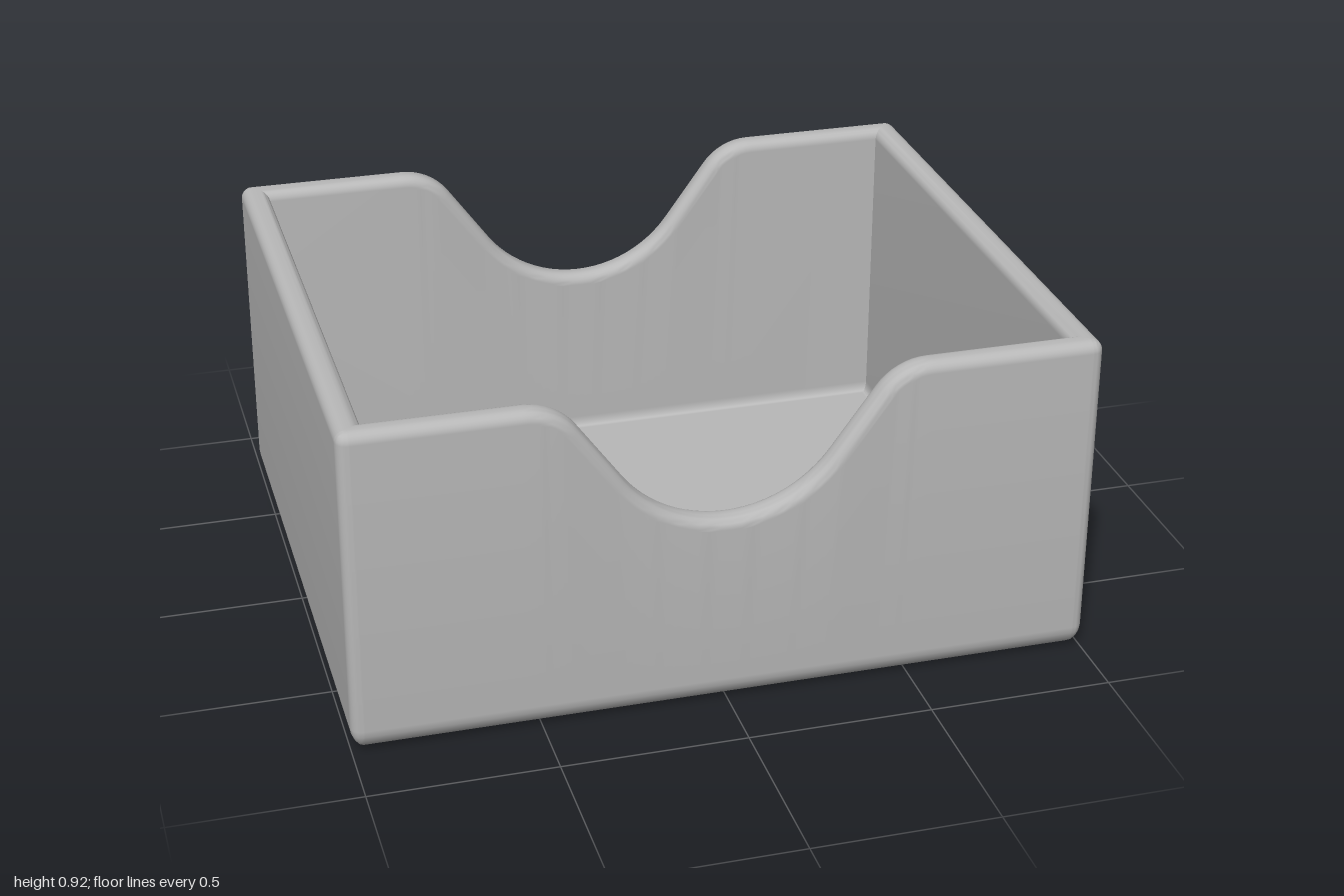
import * as THREE from 'three';
import { toCreasedNormals } from 'three/addons/utils/BufferGeometryUtils.js';

const W = 1, D = 0.82, H = 0.92;   // half width, half depth, height
const R = 0.03;                    // upright corner and rim rounding
const BASE_R = 0.07;               // underside rounding
const WALL = 0.075, FLOOR = 0.04;
const STEPS = 6;

// Rim of a notched wall from left to right: points with their upward normals
function notchRim() {
  const slope = 0.943, bowl = 0.34, lip = 0.168, low = 0.547;
  const half = [];
  for (let i = 0; i <= 12; i++) {
    const a = slope * i / 12;
    half.push({ x: bowl * Math.sin(a), y: low + bowl * (1 - Math.cos(a)), nx: -Math.sin(a), ny: Math.cos(a) });
  }
  for (let i = 0; i <= 8; i++) {
    const a = slope * (1 - i / 8);
    half.push({ x: 0.53 - lip * Math.sin(a), y: H - lip * (1 - Math.cos(a)), nx: -Math.sin(a), ny: Math.cos(a) });
  }
  for (const x of [0.54, W - R - 0.004]) half.push({ x, y: H, nx: 0, ny: 1 });
  const left = half.slice(1).reverse().map(p => ({ ...p, x: -p.x, nx: -p.nx }));
  return [...left, ...half];
}

// Stations round the box, anticlockwise seen from above
function stations() {
  const list = [];
  const flat = { y: H, tx: 0, ty: 1 };
  const corner = (sx, sz, start) => {
    for (let i = 0; i <= STEPS; i++) {
      const a = start - (Math.PI / 2) * i / STEPS;
      list.push({ ...flat, x: sx * (W - R), z: sz * (D - R), nx: Math.cos(a), nz: Math.sin(a), sx, sz });
    }
  };
  const notched = s => {
    for (const p of notchRim())
      list.push({ x: s * p.x, z: s * (D - R), nx: 0, nz: s, y: p.y, tx: s * p.nx, ty: p.ny });
  };
  const plain = s => {
    for (const k of [1, -1])
      list.push({ ...flat, x: s * (W - R), z: s * k * (D - R - 0.004), nx: s, nz: 0 });
  };
  notched(1);
  corner(1, 1, Math.PI / 2);
  plain(1);
  corner(1, -1, 0);
  notched(-1);
  corner(-1, -1, -Math.PI / 2);
  plain(-1);
  corner(-1, 1, Math.PI);
  return list;
}

// Wall section: d is the inset, with a fixed height y or a drop t below the rim
function section() {
  const s = [{ d: D, y: 0 }, { d: BASE_R + 0.004, y: 0 }];
  const arc = f => { for (let i = 0; i <= STEPS; i++) f((Math.PI / 2) * i / STEPS); };
  arc(a => s.push({ d: BASE_R * (1 - Math.sin(a)), y: BASE_R * (1 - Math.cos(a)) }));
  s.push({ d: 0, y: BASE_R + 0.004 }, { d: 0, t: R + 0.004 });
  arc(a => s.push({ d: R * (1 - Math.sin(a)), t: R * (1 - Math.sin(Math.PI / 2 - a)) }));
  // the rim arc runs from the outer face up to the crest
  s.splice(-STEPS - 1);
  arc(a => s.push({ d: R * (1 - Math.cos(a)), t: R * (1 - Math.sin(a)) }));
  arc(a => s.push({ d: WALL - R * (1 - Math.sin(a)), t: R * (1 - Math.cos(a)) }));
  s.push({ d: WALL, t: R + 0.004 }, { d: WALL, y: FLOOR + 0.034 });
  arc(a => s.push({ d: WALL + 0.015 * (1 - Math.cos(a)), y: FLOOR + 0.03 * (1 - Math.sin(a)) }));
  s.push({ d: WALL + 0.019, y: FLOOR }, { d: D, y: FLOOR });
  return s;
}

function place(st, p) {
  const k = R - p.d;
  const mitre = st.sx && k < 0;
  let x = st.x + k * (mitre ? st.sx : st.nx);
  let z = st.z + k * (mitre ? st.sz : st.nz);
  let y = p.y;
  if (p.t !== undefined) {
    x -= st.tx * p.t;
    y = st.y - st.ty * p.t;
  }
  x = THREE.MathUtils.clamp(x, p.d - W, W - p.d);
  z = THREE.MathUtils.clamp(z, p.d - D, D - p.d);
  return new THREE.Vector3(x, y, z);
}

function trayGeometry() {
  const ring = stations(), prof = section(), pos = [];
  const grid = ring.map(st => prof.map(p => place(st, p)));
  const area = new THREE.Triangle();
  const tri = (a, b, c) => {
    if (area.set(a, b, c).getArea() > 1e-9) for (const v of [a, b, c]) pos.push(v.x, v.y, v.z);
  };
  for (let i = 0; i < ring.length; i++) {
    const g = grid[i], n = grid[(i + 1) % ring.length];
    for (let j = 0; j < prof.length - 1; j++) {
      tri(g[j], n[j], n[j + 1]);
      tri(g[j], n[j + 1], g[j + 1]);
    }
  }
  const geo = new THREE.BufferGeometry();
  geo.setAttribute('position', new THREE.Float32BufferAttribute(pos, 3));
  return toCreasedNormals(geo, 0.6);
}

export function createModel() {
  const grey = new THREE.MeshStandardMaterial({ color: 0xb8b8b8 });
  grey.name = 'grey';
  const tray = new THREE.Mesh(trayGeometry(), grey);
  tray.name = 'notchedTray';
  const group = new THREE.Group();
  group.name = 'openBox';
  group.add(tray);
  return group;
}
